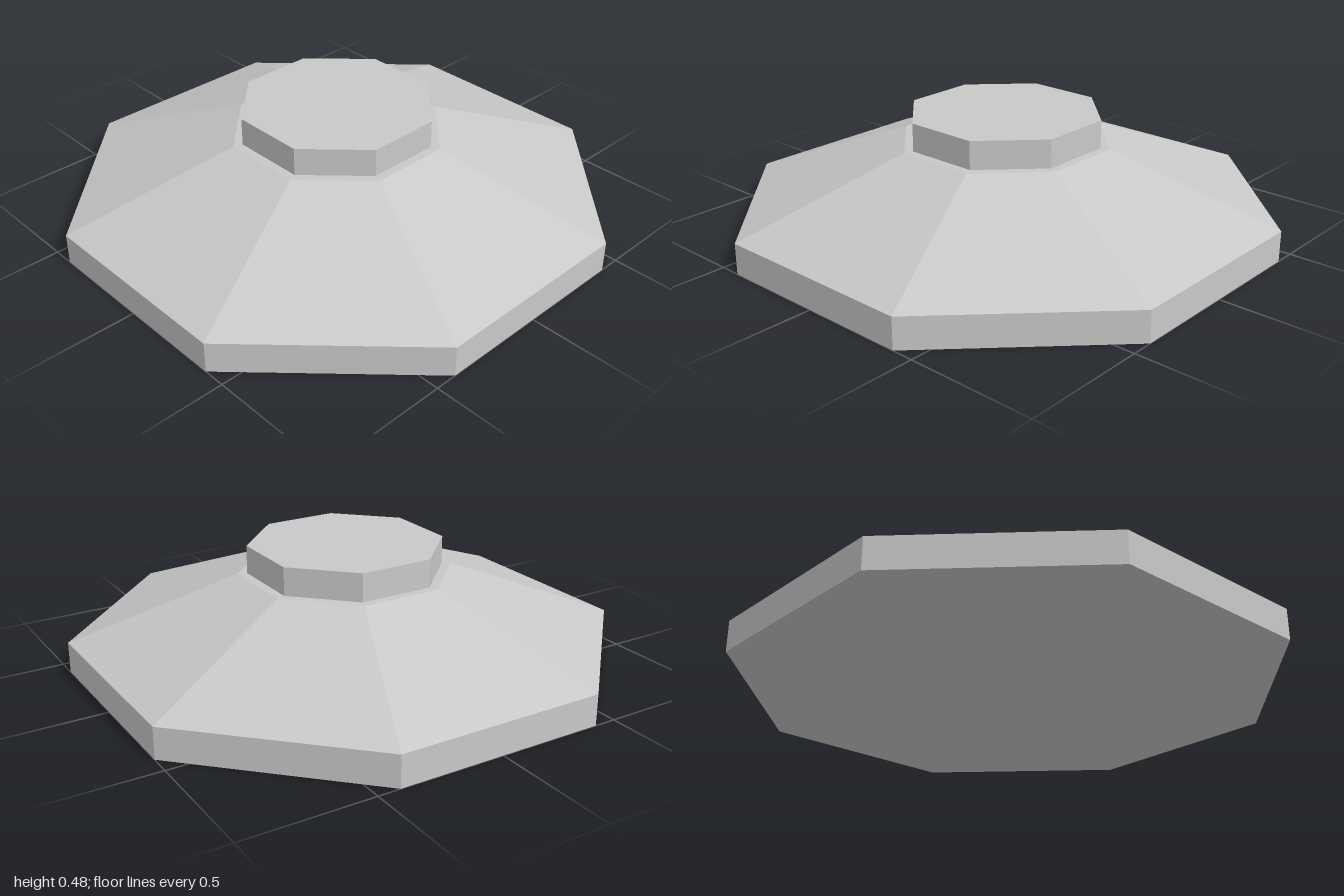
import * as THREE from 'three';

// Octagonal solid turned from a profile of [distance to flat side, height]
function octagon(name, profile, material) {
  const points = profile.map(([a, y]) => new THREE.Vector2(a / Math.cos(Math.PI / 8), y));
  const geometry = new THREE.LatheGeometry(points, 8, Math.PI / 8).toNonIndexed();
  geometry.computeVertexNormals();
  const mesh = new THREE.Mesh(geometry, material);
  mesh.name = name;
  return mesh;
}

export function createModel() {
  const grey = new THREE.MeshStandardMaterial({ color: 0xc8c8c8, flatShading: true });
  grey.name = 'light grey';

  const group = new THREE.Group();
  group.name = 'octagonalBase';

  // Upright rim, sloping faces and narrow flat shoulder
  group.add(octagon('slopedBase', [[0, 0], [1, 0], [1, 0.122], [0.39, 0.367], [0, 0.367]], grey));
  // Raised cap on the shoulder
  group.add(octagon('topCap', [[0.356, 0.367], [0.356, 0.478], [0, 0.478]], grey));

  return group;
}
